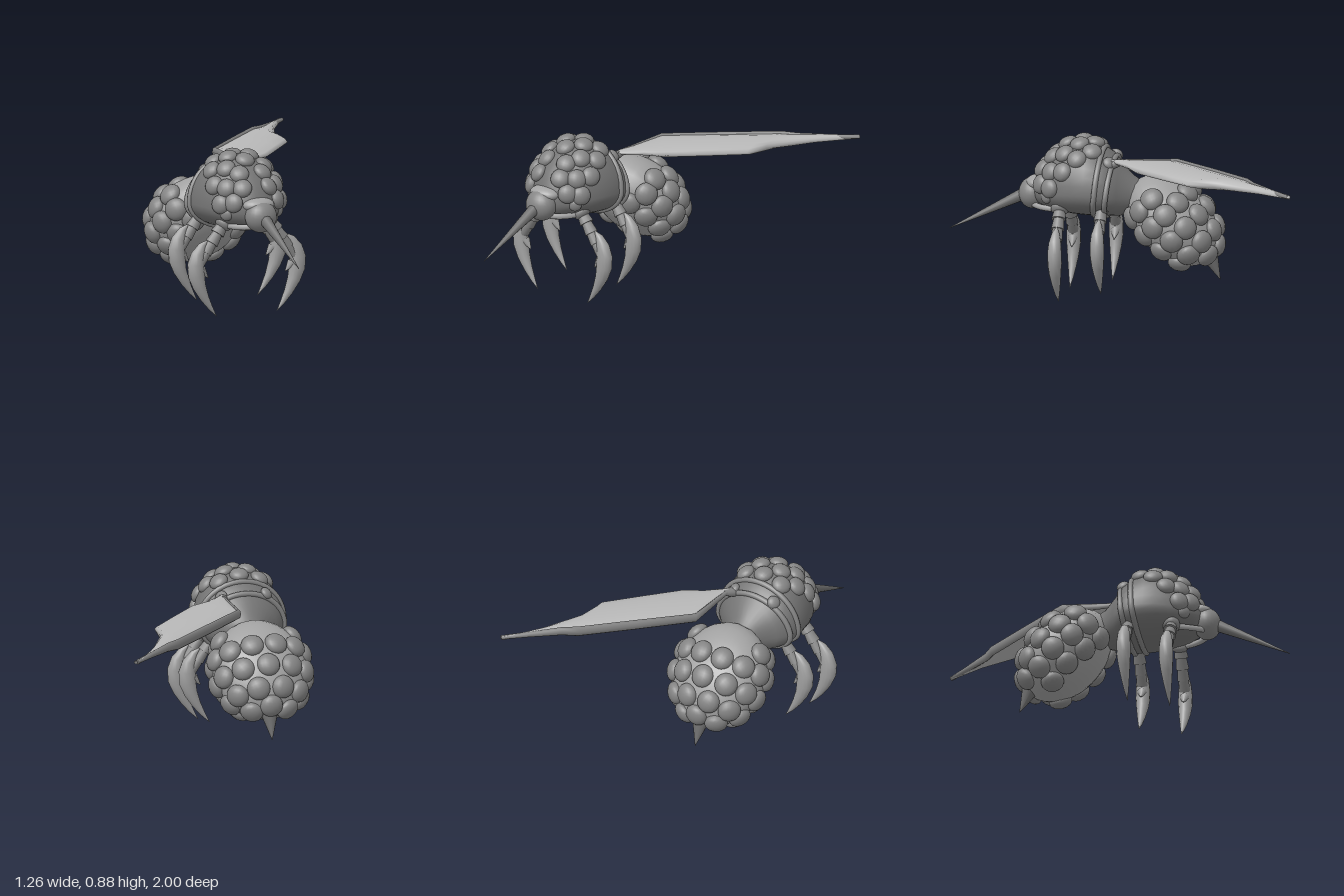
import * as THREE from 'three';

const paint = (color) => new THREE.MeshStandardMaterial({ color, side: THREE.DoubleSide });
const PLATE = paint(0x747474), SHELL = paint(0xa2a2a2), DOME = paint(0x858585);
const LIMB = paint(0xa0a0a0), HORN = paint(0x707070), WING = paint(0xb8b8b8);
const V = (x, y, z) => new THREE.Vector3(x, y, z);
const MID = -0.275; // the body's own centre line

function add(parent, name, geometry, material) {
  const mesh = new THREE.Mesh(geometry, material);
  mesh.name = name;
  parent.add(mesh);
  return mesh;
}

// Skin through elliptical rings: centre c, half axes u and v, and d for a different lower half
function loft(rings, sides = 16) {
  const pos = [], index = [];
  rings.forEach(({ c, u, v, d = v }, r) => {
    for (let i = 0; i < sides; i++) {
      const a = (i / sides) * Math.PI * 2, sin = Math.sin(a);
      const p = c.clone().addScaledVector(u, Math.cos(a)).addScaledVector(sin > 0 ? v : d, sin);
      pos.push(p.x, p.y, p.z);
      if (r === 0) continue;
      const j = (i + 1) % sides, a0 = (r - 1) * sides, b0 = r * sides;
      index.push(a0 + i, a0 + j, b0 + i, a0 + j, b0 + j, b0 + i);
    }
  });
  const g = new THREE.BufferGeometry();
  g.setAttribute('position', new THREE.Float32BufferAttribute(pos, 3));
  g.setIndex(index);
  g.computeVertexNormals();
  return g;
}

// Tapered round bar between two points
function bar(parent, name, a, b, ra, rb, material) {
  const m = add(parent, name, new THREE.CylinderGeometry(rb, ra, a.distanceTo(b), 12), material);
  m.position.copy(a).lerp(b, 0.5);
  m.quaternion.setFromUnitVectors(V(0, 1, 0), b.clone().sub(a).normalize());
}

// Flattened dome lying on a surface
const domeShape = new THREE.SphereGeometry(1, 16, 12);
function dome(parent, name, p, normal, r, material = DOME) {
  const m = add(parent, name, domeShape, material);
  m.position.copy(p);
  m.quaternion.setFromUnitVectors(V(0, 0, 1), normal.clone().normalize());
  m.scale.set(r, r, r * 0.65);
}

function ball(parent, name, p, scale, material) {
  const m = add(parent, name, new THREE.SphereGeometry(1, 24, 16), material);
  m.position.copy(p);
  m.scale.copy(scale);
}

// Thorax stations: z, height of the widest line, half width, rise above it, drop below it
const THORAX = [
  [-0.05, 0.55, 0.09, 0.08, 0.06], [0.01, 0.56, 0.105, 0.11, 0.1], [0.07, 0.57, 0.175, 0.16, 0.12],
  [0.12, 0.58, 0.228, 0.21, 0.13], [0.18, 0.585, 0.24, 0.245, 0.135], [0.24, 0.59, 0.24, 0.262, 0.14],
  [0.31, 0.59, 0.23, 0.262, 0.135], [0.38, 0.585, 0.207, 0.24, 0.12], [0.44, 0.58, 0.178, 0.2, 0.1],
  [0.49, 0.575, 0.135, 0.15, 0.08], [0.53, 0.57, 0.075, 0.085, 0.06], [0.545, 0.57, 0.002, 0.002, 0.002],
];
// Point on the thorax at a given z and angle from the top
function thoraxPoint(z, angle) {
  const i = Math.max(1, THORAX.findIndex((s) => s[0] >= z));
  const a = THORAX[i - 1], b = THORAX[i], t = (z - a[0]) / (b[0] - a[0]);
  const [, y, w, up, down] = a.map((n, k) => n + (b[k] - n) * t);
  const cos = Math.cos(angle);
  return V(w * Math.sin(angle), y + cos * (cos > 0 ? up : down), z);
}

function buildThorax(body) {
  const rings = THORAX.map(([z, y, w, up, down]) => ({ c: V(0, y, z), u: V(w, 0, 0), v: V(0, up, 0), d: V(0, down, 0) }));
  add(body, 'thorax', loft(rings, 32), PLATE);

  // Domes over the crown: z, then angles from the top in degrees
  const rows = [[0.21, [0, 28]], [0.285, [16, 44]], [0.36, [0, 32, 60]], [0.43, [22, 54, 80]], [0.485, [34, 70]]];
  for (const [z, angles] of rows) {
    for (const deg of angles) for (const s of deg ? [-1, 1] : [1]) {
      const a = THREE.MathUtils.degToRad(deg) * s;
      const n = V(Math.sin(a) / 0.2, Math.cos(a) / 0.23, (z - 0.25) * 18);
      dome(body, 'thoraxDome', thoraxPoint(z, a), n, 0.052);
    }
  }

  // Raised collar ridges round the back of the thorax
  for (const z of [0.18, 0.12]) {
    const pts = [];
    for (let i = 0; i < 32; i++) {
      const a = (i / 32) * Math.PI * 2;
      pts.push(thoraxPoint(z - 0.02 * Math.cos(a), a));
    }
    add(body, 'collarRidge', new THREE.TubeGeometry(new THREE.CatmullRomCurve3(pts, true), 64, 0.015, 8, true), DOME);
  }
  for (const s of [-1, 1]) {
    dome(body, 'wingSocket', V(s * 0.125, 0.755, 0.115), V(s, 1, -0.6), 0.035);
    dome(body, 'eye', V(s * 0.155, 0.565, 0.45), V(s, 0, 0.9), 0.036);
  }
}

function buildHead(body) {
  ball(body, 'head', V(0, 0.555, 0.55), V(0.088, 0.085, 0.075), DOME);
  ball(body, 'brow', V(0, 0.615, 0.52), V(0.09, 0.04, 0.065), SHELL);
  bar(body, 'beak', V(0, 0.55, 0.59), V(0, 0.345, 1), 0.034, 0.0015, HORN);
  // Slim jaw plates sweeping back from the mouth
  for (const s of [-1, 1]) {
    const path = new THREE.QuadraticBezierCurve3(V(s * 0.03, 0.505, 0.55), V(s * 0.1, 0.49, 0.51), V(s * 0.13, 0.495, 0.4));
    add(body, 'jawPlate', new THREE.TubeGeometry(path, 12, 0.016, 8), SHELL);
  }
}

function buildAbdomen(body) {
  const abdomen = new THREE.Group();
  abdomen.name = 'abdomen';
  abdomen.position.set(0, 0.432, -0.212);
  abdomen.rotation.x = -0.78;
  body.add(abdomen);
  const R = V(0.258, 0.19, 0.288);
  ball(abdomen, 'abdomenShell', V(0, 0, 0), R, SHELL);

  // Staggered rows of domes from tail to waist, leaving the belly and front crown bare
  [[24, 5], [50, 9], [76, 11], [101, 12], [125, 10]].forEach(([deg, count], row) => {
    const t = THREE.MathUtils.degToRad(deg);
    for (let i = 0; i < count; i++) {
      const phi = ((i + (row % 2) * 0.5) / count) * Math.PI * 2;
      const d = V(Math.sin(t) * Math.sin(phi), Math.sin(t) * Math.cos(phi), -Math.cos(t));
      const belly = d.y < -0.3 && Math.abs(d.x) < 0.33;
      const crown = deg > 110 && d.y > 0.35;
      if (belly || crown) continue;
      dome(abdomen, 'abdomenDome', d.clone().multiply(R), d.clone().divide(R), 0.062);
    }
  });
  bar(body, 'stinger', V(0, 0.24, -0.41), V(0, 0.115, -0.466), 0.045, 0.001, HORN);
}

// Claw stations in the leg's plane: distance out, height, half width, half thickness
const CLAW = [
  [0.235, 0.418, 0.003, 0.004], [0.265, 0.392, 0.02, 0.02], [0.292, 0.345, 0.036, 0.033], [0.304, 0.29, 0.046, 0.038],
  [0.3, 0.23, 0.046, 0.038], [0.282, 0.17, 0.036, 0.032], [0.25, 0.105, 0.024, 0.022], [0.215, 0.05, 0.013, 0.012],
  [0.18, 0.003, 0.001, 0.001],
];

function buildLeg(body, s, z, lift, name) {
  const leg = new THREE.Group();
  leg.name = name;
  leg.position.set(0, lift, z);
  body.add(leg);
  // Segmented thigh
  const a = V(s * 0.14, 0.5, 0), b = V(s * 0.28, 0.3, 0), n = 4;
  for (let i = 0; i < n; i++) {
    bar(leg, 'thighSegment', a.clone().lerp(b, i / n), a.clone().lerp(b, (i + 1) / n), 0.028, 0.039 - i * 0.003, DOME);
  }
  dome(leg, 'hip', a, V(s, -1, 0), 0.048);
  // Sickle claw and its inner spur
  const rings = CLAW.map(([x, y, w, t], i) => {
    const p = CLAW[Math.max(0, i - 1)], q = CLAW[Math.min(CLAW.length - 1, i + 1)];
    const across = V(-(q[1] - p[1]), q[0] - p[0], 0).normalize().multiplyScalar(w);
    across.x *= s;
    return { c: V(s * x, y, 0), u: across, v: V(0, 0, t * s) };
  });
  add(leg, 'claw', loft(rings, 14), LIMB);
  bar(leg, 'spur', V(s * 0.27, 0.26, 0), V(s * 0.23, 0.215, 0), 0.026, 0.002, LIMB);
}

function buildWing(root) {
  // Chord stations: outer edge x, z, inner edge x, z, half thickness
  const chords = [
    [-0.155, 0.09, -0.14, 0.09, 0.01], [-0.153, -0.06, -0.03, 0, 0.018], [-0.153, -0.265, 0.074, -0.058, 0.028],
    [0.08, -0.5, 0.215, -0.222, 0.031], [0.3, -0.72, 0.355, -0.386, 0.031], [0.376, -0.767, 0.36, -0.53, 0.026],
    [0.5, -0.885, 0.466, -0.767, 0.017], [0.612, -0.995, 0.612, -0.99, 0.01],
  ];
  const rings = chords.map(([ax, az, bx, bz, t]) => ({
    c: V((ax + bx) / 2, 0.765, (az + bz) / 2), u: V((bx - ax) / 2, -0.004, (bz - az) / 2), v: V(0, t, 0),
  }));
  add(root, 'wingBlade', loft(rings, 12), WING);
  // Stiff rib along the leading edge
  const rib = chords.map(([x, z, , , t]) => ({ c: V(x + 0.008, 0.767, z + 0.006), u: V(0.011, 0, 0.009), v: V(0, t * 0.95, 0) }));
  add(root, 'wingRib', loft(rib, 8), DOME);
  bar(root, 'wingHinge', V(-0.16, 0.74, 0.12), V(-0.14, 0.768, 0.03), 0.03, 0.014, DOME);
}

export function createModel() {
  const model = new THREE.Group();
  model.name = 'insect';
  const body = new THREE.Group();
  body.name = 'body';
  body.position.x = MID;
  model.add(body);
  buildThorax(body);
  buildHead(body);
  buildAbdomen(body);
  for (const s of [-1, 1]) {
    buildLeg(body, s, 0.38, 0, 'frontLeg');
    buildLeg(body, s, 0.15, 0.05, 'backLeg');
  }
  buildWing(model);
  return model;
}
